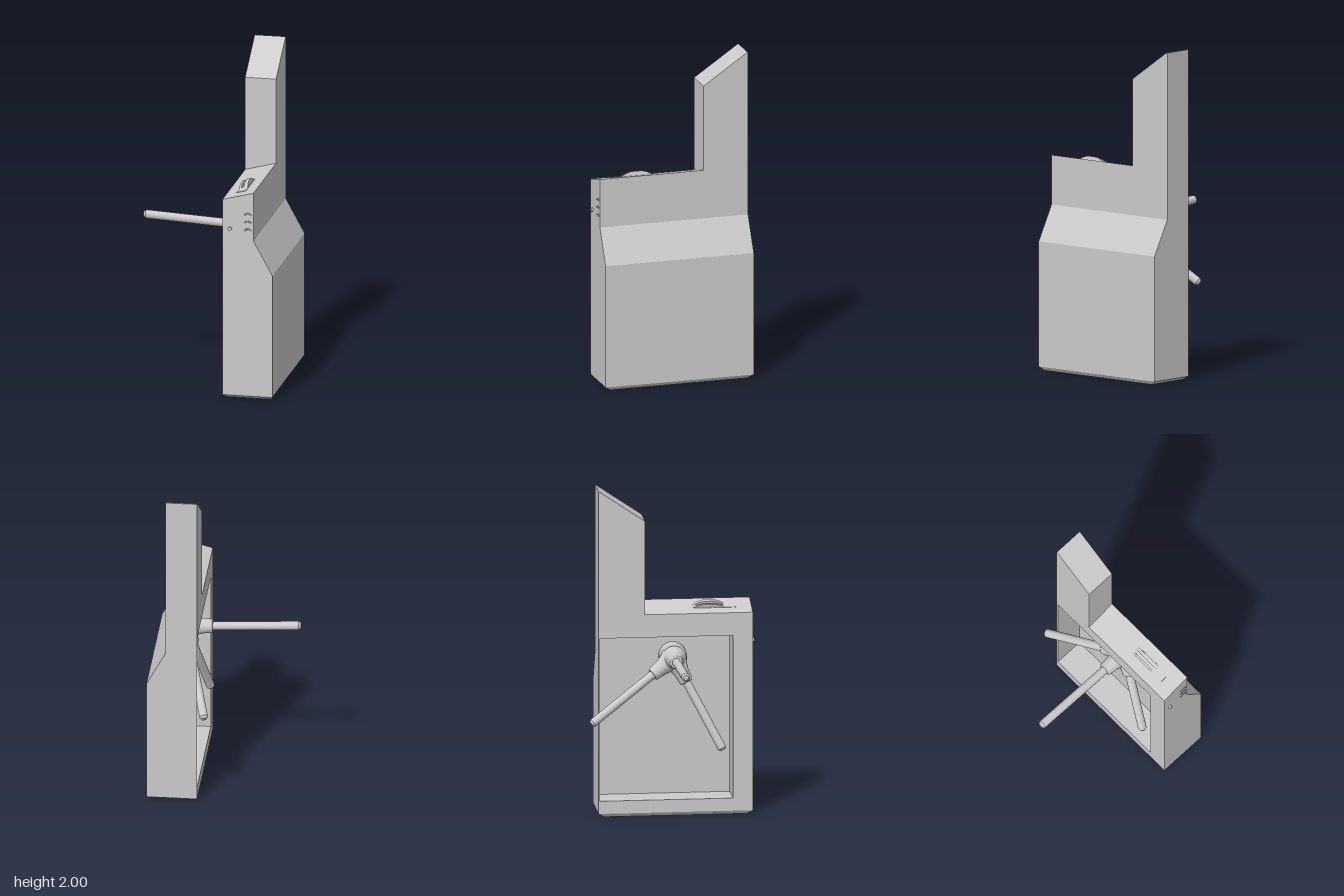
import * as THREE from 'three';

const MAT = new THREE.MeshStandardMaterial({ color: 0xcccccc });
const V = (x, y, z) => new THREE.Vector3(x, y, z);

function add(parent, name, geometry) {
  const mesh = new THREE.Mesh(geometry, MAT);
  mesh.name = name;
  parent.add(mesh);
  return mesh;
}

// Extrudes an (x, y) outline from z0 to z1.
function extrudeZ(points, z0, z1) {
  const shape = new THREE.Shape(points.map(([x, y]) => new THREE.Vector2(x, y)));
  const geo = new THREE.ExtrudeGeometry(shape, { depth: z1 - z0, bevelEnabled: false });
  return geo.translate(0, 0, z0);
}

// Extrudes a (z, y) outline from x0 to x1.
function extrudeX(points, x0, x1) {
  return extrudeZ(points, 0, x1 - x0).rotateY(-Math.PI / 2).translate(x1, 0, 0);
}

// Lathe profile of [radius, distance] pairs, pointing along dir from origin.
function spun(parent, name, profile, origin, dir, sides) {
  const pts = profile.map(([r, d]) => new THREE.Vector2(r, d));
  const mesh = add(parent, name, new THREE.LatheGeometry(pts, sides));
  mesh.position.copy(origin);
  mesh.quaternion.setFromUnitVectors(V(0, 1, 0), dir);
  return mesh;
}

export function createModel() {
  const group = new THREE.Group();
  group.name = 'tripodTurnstile';

  // Cabinet: solid ends with a recessed bay on the passage side between them
  const L = 0.135, R = 0.325, W = 0.44, foot = 0.022;
  const outer = [[L, foot], [W, foot], [W, 0.78], [R, 0.99], [R, 1.29], [L, 1.24]];
  const bay = [[L, 1.1], [0.315, 1.1], [0.315, 0.1], [L, 0.1]];
  const cabinet = new THREE.Group();
  cabinet.name = 'cabinet';
  group.add(cabinet);
  add(cabinet, 'cabinetBack', extrudeZ(outer, -0.44, -0.43));
  add(cabinet, 'cabinetBay', extrudeZ([...outer, ...bay], -0.43, 0.37));
  add(cabinet, 'cabinetFront', extrudeZ(outer, 0.37, 0.49));

  // Chamfered foot, narrowed at the floor
  const base = new THREE.BoxGeometry(W - L, foot, 0.93);
  const p = base.attributes.position;
  for (let i = 0; i < p.count; i++) {
    if (p.getY(i) < 0) {
      p.setX(i, p.getX(i) * 0.9);
      p.setZ(i, p.getZ(i) * 0.925);
    }
  }
  base.computeVertexNormals();
  add(cabinet, 'foot', base.translate((L + W) / 2, foot / 2, 0.025));

  // Tower with a sloping display face
  add(group, 'tower', extrudeX(
    [[-0.16, 1.24], [-0.16, 1.815], [-0.432, 2], [-0.44, 2], [-0.44, 1.24]], L, R));

  // Card reader on the sloping top
  const reader = new THREE.Group();
  reader.name = 'cardReader';
  reader.position.set(0.23, 1.265, 0);
  reader.rotation.z = Math.atan2(0.05, 0.19);
  group.add(reader);
  add(reader, 'readerPlate', new THREE.BoxGeometry(0.058, 0.006, 0.255).translate(0, 0, 0.267));
  const fin = [[0.14, 0], [0.165, 0.013], [0.2, 0.022], [0.27, 0.022], [0.305, 0.013], [0.33, 0]].reverse();
  add(reader, 'readerRail', extrudeX(fin, -0.028, -0.014));
  add(reader, 'readerGuide', extrudeX(fin.map(([z, y]) => [z, y * 1.25]), 0.003, 0.026));

  // Front button and curved signal marks
  const button = add(group, 'button', new THREE.CylinderGeometry(0.012, 0.012, 0.02, 20));
  button.rotation.x = Math.PI / 2;
  button.position.set(0.18, 1.06, 0.492);
  [1.06, 1.108, 1.156].forEach((y) => {
    const mark = add(group, 'signalMark', new THREE.TorusGeometry(0.024, 0.004, 6, 12, Math.PI * 0.6));
    mark.rotation.z = Math.PI * 0.2;
    mark.position.set(0.29, y - 0.02, 0.491);
  });

  // Hub and three arms with flared sockets
  const center = V(0.25, 0.945, 0.025);
  const rotor = new THREE.Group();
  rotor.name = 'rotor';
  group.add(rotor);
  add(rotor, 'hub', new THREE.SphereGeometry(0.068, 24, 16).translate(center.x, center.y, center.z));
  spun(rotor, 'hubMount', [[0, 0.07], [0.07, 0.07], [0.085, 0.04], [0.085, 0]],
    V(0.316, 0.945, 0.025), V(-1, 0, 0), 24);
  const tips = [V(-0.445, 0.982, 0.025), V(0.088, 0.585, -0.488), V(0.128, 0.398, 0.31)];
  tips.forEach((tip) => {
    const dir = tip.clone().sub(center);
    const len = dir.length();
    dir.normalize();
    spun(rotor, 'armSocket',
      [[0.075, 0.02], [0.058, 0.06], [0.047, 0.1], [0.041, 0.16], [0.036, 0.165], [0, 0.165]],
      center, dir, 20);
    spun(rotor, 'arm',
      [[0.026, 0.1], [0.026, len - 0.014], [0.026, len - 0.014], [0.015, len], [0.015, len], [0, len]],
      center, dir, 16);
  });
  // Lathe profiles running outward need their faces on both sides
  const latheMat = MAT.clone();
  latheMat.side = THREE.DoubleSide;
  rotor.children.forEach((m) => { m.material = latheMat; });

  return group;
}
